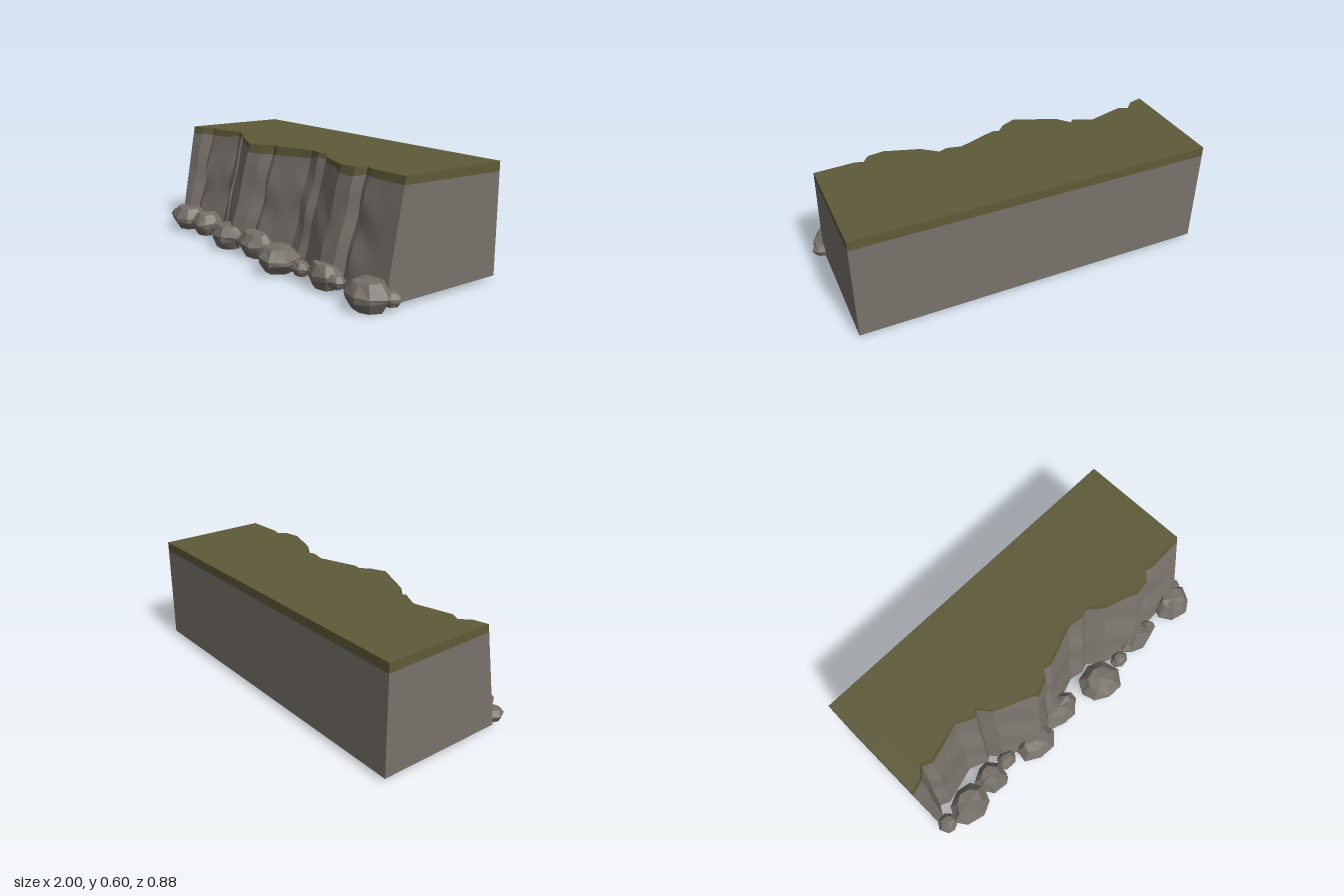
import * as THREE from 'three';
import { toCreasedNormals } from 'three/addons/utils/BufferGeometryUtils.js';

const BOTTOM = 0.025, TOP = 0.595, BACK = -0.447, GRASS = 0.545;

// Plan of the cliff's upper edge: [x, z]
const EDGE = [
  [-0.975, 0.155], [-0.9, 0.135], [-0.85, 0.085], [-0.8, 0.107], [-0.6, 0.053], [-0.535, 0.08],
  [-0.5, 0.1], [-0.475, 0.075], [-0.42, 0.14], [-0.2, 0.235], [-0.12, 0.2], [-0.075, 0.155],
  [-0.04, 0.165], [0.17, 0.09], [0.25, 0.107], [0.295, 0.09], [0.375, 0.155], [0.56, 0.214],
  [0.645, 0.2], [0.68, 0.155], [0.72, 0.17], [0.935, 0.16]];

// Height of the ragged turf line along the face: [x, y]
const TURF = [
  [-0.975, 0.553], [-0.68, 0.555], [-0.62, 0.575], [-0.54, 0.562], [-0.48, 0.572], [-0.23, 0.57],
  [-0.19, 0.545], [-0.03, 0.547], [0.16, 0.552], [0.21, 0.57], [0.5, 0.57], [0.55, 0.552],
  [0.64, 0.55], [0.69, 0.562], [0.78, 0.556], [0.935, 0.555]];

function sample(table, x) {
  for (let i = 1; i < table.length; i++) {
    if (x <= table[i][0] || i === table.length - 1) {
      const [a, b] = [table[i - 1], table[i]];
      return THREE.MathUtils.lerp(a[1], b[1], (x - a[0]) / (b[0] - a[0]));
    }
  }
}

function seeded(seed) {
  return () => {
    seed = (seed * 16807) % 2147483647;
    return seed / 2147483647;
  };
}

// Point on the leaning, gently rippled face
function facePoint(x, y) {
  const down = (TOP - y) / (TOP - BOTTOM);
  const fade = Math.min(1, (x + 0.975) / 0.12, (0.935 - x) / 0.12);
  const lean = 0.055 + 0.025 * Math.exp(-Math.pow((x + 0.12) / 0.15, 2));
  const ripple = 0.006 * Math.sin(19 * y + 7 * x) * Math.sin(Math.PI * down)
    + 0.004 * Math.sin(31 * x + 23 * y) * Math.sin(Math.PI * down);
  return [x - lean * down * fade, y, sample(EDGE, x) + 0.105 * down + ripple * fade];
}

// Skin a solid from cross-sections running along x
function loftSolid(sections, skipStrip) {
  const pos = [];
  const tri = (a, b, c) => pos.push(...a, ...b, ...c);
  const n = sections[0].length;
  for (let i = 0; i + 1 < sections.length; i++) {
    const a = sections[i], b = sections[i + 1];
    for (let j = 0; j < n; j++) {
      if (j === skipStrip) continue;
      const k = (j + 1) % n;
      tri(a[j], b[j], b[k]);
      tri(a[j], b[k], a[k]);
    }
  }
  const first = sections[0], last = sections[sections.length - 1];
  for (let j = 1; j + 1 < n; j++) {
    tri(first[0], first[j], first[j + 1]);
    tri(last[0], last[j + 1], last[j]);
  }
  const g = new THREE.BufferGeometry();
  g.setAttribute('position', new THREE.Float32BufferAttribute(pos, 3));
  return toCreasedNormals(g, 0.4);
}

// Faceted boulder: a many-sided lathe with uneven corners
function boulderGeometry(rx, rz, y0, y1, sides, seed) {
  const rnd = seeded(seed * 7919 + 13);
  const rings = [[0, 0], [0.68, 0.02], [0.97, 0.4], [1, 0.58], [0.62, 0.97], [0, 1]];
  const g = new THREE.LatheGeometry(rings.map(([r, y]) => new THREE.Vector2(r, y)), sides);
  const p = g.attributes.position, m = rings.length;
  const turn = rnd() * 2;
  for (let s = 0; s < sides; s++) {
    const stretch = 0.92 + 0.14 * rnd();
    const angle = turn + (s + 0.35 * (rnd() - 0.5)) / sides * Math.PI * 2;
    for (let j = 0; j < m; j++) {
      const r = rings[j][0] * stretch * (0.95 + 0.1 * rnd());
      const inner = j > 0 && j < m - 1;
      const y = y0 + (y1 - y0) * (rings[j][1] + (inner && j !== 1 ? 0.1 * (rnd() - 0.6) : 0));
      const x = r * rx * Math.sin(angle), z = r * rz * Math.cos(angle);
      p.setXYZ(s * m + j, x, y, z);
      if (s === 0) p.setXYZ(sides * m + j, x, y, z);
    }
  }
  const flat = g.toNonIndexed();
  flat.computeVertexNormals();
  return flat;
}

export function createModel() {
  const model = new THREE.Group();
  model.name = 'cliff';
  const rock = new THREE.MeshStandardMaterial({ color: 0x79726c });
  rock.name = 'cliff rock';
  const turf = new THREE.MeshStandardMaterial({ color: 0x5e5a39 });
  turf.name = 'grass';
  const stone = new THREE.MeshStandardMaterial({ color: 0x756f68 });
  stone.name = 'boulder stone';

  // Columns follow the edge corners, with extra ones between
  const xs = [];
  for (let i = 0; i + 1 < EDGE.length; i++) {
    const [x0, x1] = [EDGE[i][0], EDGE[i + 1][0]];
    const steps = Math.ceil((x1 - x0) / 0.035);
    for (let s = 0; s < steps; s++) xs.push(x0 + (x1 - x0) * s / steps);
  }
  xs.push(0.935);

  const rows = 14;
  const rockSections = xs.map((x) => {
    const line = sample(TURF, x), loop = [[x, BOTTOM, BACK]];
    for (let r = 0; r <= rows; r++) loop.push(facePoint(x, BOTTOM + (line - BOTTOM) * r / rows));
    loop.push([x, GRASS, BACK]);
    return loop;
  });
  const turfSections = xs.map((x) => {
    const line = sample(TURF, x);
    return [[x, GRASS, BACK], facePoint(x, line), facePoint(x, (line + TOP) / 2),
      facePoint(x, TOP), [x, TOP, BACK]];
  });

  const body = new THREE.Mesh(loftSolid(rockSections, rows + 1), rock);
  body.name = 'cliffBody';
  const cap = new THREE.Mesh(loftSolid(turfSections, 0), turf);
  cap.name = 'grassTop';
  model.add(body, cap);

  // Boulders along the foot: x, z, half width, half depth, bottom, top, sides
  const boulders = new THREE.Group();
  boulders.name = 'boulders';
  [
    [-0.79, 0.305, 0.125, 0.1, 0.012, 0.14, 8],
    [-0.61, 0.285, 0.09, 0.085, 0.005, 0.14, 8],
    [-0.3, 0.325, 0.125, 0.088, 0.01, 0.137, 8],
    [-0.08, 0.28, 0.135, 0.08, 0.003, 0.137, 9],
    [0.21, 0.335, 0.122, 0.108, 0.01, 0.138, 8],
    [0.545, 0.295, 0.11, 0.078, 0.01, 0.135, 8],
    [0.86, 0.3, 0.12, 0.092, 0, 0.14, 8],
    [-0.94, 0.295, 0.058, 0.055, 0.03, 0.095, 7],
    [-0.585, 0.335, 0.048, 0.035, 0.04, 0.1, 7],
    [-0.48, 0.275, 0.06, 0.05, 0.035, 0.1, 7],
    [-0.05, 0.33, 0.05, 0.035, 0.04, 0.1, 7],
    [0.385, 0.32, 0.055, 0.045, 0.03, 0.1, 7],
    [0.64, 0.3, 0.055, 0.045, 0.035, 0.1, 7],
    [0.945, 0.24, 0.05, 0.045, 0.03, 0.096, 7],
  ].forEach(([x, z, rx, rz, y0, y1, sides], i) => {
    const b = new THREE.Mesh(boulderGeometry(rx, rz, y0, y1, sides, i + 1), stone);
    b.position.set(x, 0, z);
    b.name = i < 7 ? 'boulder' : 'smallRock';
    boulders.add(b);
  });
  model.add(boulders);
  return model;
}
